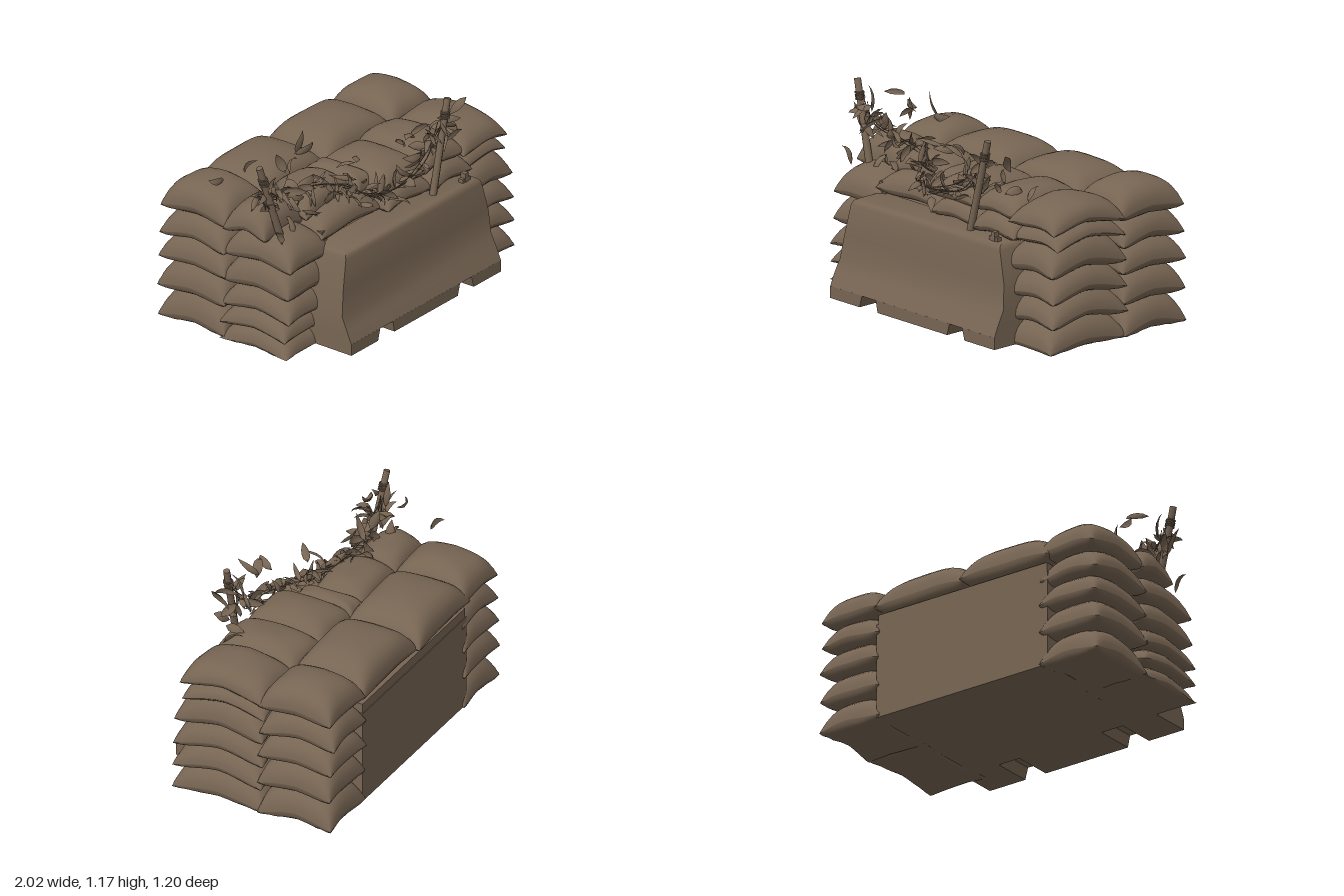
import * as THREE from 'three';
import { mergeGeometries, toCreasedNormals } from 'three/addons/utils/BufferGeometryUtils.js';

let seed = 7;
const rnd = () => (seed = (seed * 16807) % 2147483647) / 2147483647;
const jit = (a) => (rnd() - 0.5) * 2 * a;
const V = (x, y, z) => new THREE.Vector3(x, y, z);

// Stuffed sack: two domed sheets meeting at a low seam, draped by 'arch' along x or z
function bagGeometry([x0, x1], [z0, z1], [y0, y1], archX, archZ) {
  const w = (x1 - x0) / 2, d = (z1 - z0) / 2, seam = y0 + (y1 - y0) * 0.38;
  const turn = jit(0.025), phase = rnd() * 6;
  const halves = [1, -1].map((side) => {
    const g = new THREE.PlaneGeometry(2, 2, 16, 16).rotateX((-side * Math.PI) / 2);
    const p = g.attributes.position;
    const h = side > 0 ? y1 - seam : y0 - seam;
    for (let i = 0; i < p.count; i++) {
      const u = Math.sin((p.getX(i) * Math.PI) / 2), v = Math.sin((p.getZ(i) * Math.PI) / 2);
      const dome = Math.sqrt(Math.max(0, (1 - Math.abs(u) ** 4) * (1 - Math.abs(v) ** 5)));
      const ear = u * u * v * v;
      const px = u * w * (1 - 0.04 * (1 - v * v)), pz = v * d * (1 - 0.035 * (1 - u * u));
      const y = seam + h * dome + archX * (0.3 - u * u) + archZ * (0.4 - Math.abs(v) ** 1.3)
        - 0.01 * ear + 0.005 * Math.sin(u * 4 + phase) * Math.cos(v * 3);
      p.setXYZ(i, (x0 + x1) / 2 + px * Math.cos(turn) + pz * Math.sin(turn), Math.max(0.008, y),
        (z0 + z1) / 2 - px * Math.sin(turn) + pz * Math.cos(turn));
    }
    g.computeVertexNormals();
    return g;
  });
  return mergeGeometries(halves);
}

// Pointed, curled, creased leaf
function leafGeometry(length, width, curl) {
  const g = new THREE.PlaneGeometry(1, 1, 2, 5);
  const p = g.attributes.position;
  for (let i = 0; i < p.count; i++) {
    const x = p.getX(i), t = p.getY(i) + 0.5;
    const taper = Math.sin(Math.PI * Math.pow(t, 0.7));
    const a = t * curl;
    p.setXYZ(i, x * width * taper, (length * Math.sin(a)) / curl,
      (length * (1 - Math.cos(a))) / curl + Math.abs(x) * width * 0.7 * taper);
  }
  g.computeVertexNormals();
  return g;
}

export function createModel() {
  const model = new THREE.Group();
  const brown = new THREE.MeshStandardMaterial({ color: 0x776553, side: THREE.DoubleSide });
  brown.name = 'earth brown';
  const add = (name, geometry, parent = model) => {
    const m = new THREE.Mesh(geometry, brown);
    m.name = name;
    parent.add(m);
    return m;
  };
  const group = (name) => {
    const g = new THREE.Group();
    g.name = name;
    model.add(g);
    return g;
  };

  // Solid block under and between the sacks
  add('coreBlock', new THREE.BoxGeometry(1.21, 0.58, 0.92).translate(-0.015, 0.3, -0.115));
  add('coreBlockRear', new THREE.BoxGeometry(1.19, 0.06, 0.42).translate(-0.015, 0.62, -0.36));

  // Concrete barrier: rows of [y, xMin, xMax, zFront]
  const rows = [
    [0.08, -0.71, 0.66, 0.595], [0.15, -0.71, 0.66, 0.565], [0.23, -0.705, 0.66, 0.525],
    [0.38, -0.68, 0.65, 0.512], [0.56, -0.64, 0.605, 0.5], [0.585, -0.63, 0.595, 0.49], [0.597, -0.61, 0.58, 0.465],
  ];
  const body = new THREE.BoxGeometry(1, 1, 1, 1, rows.length - 1, 1);
  const bp = body.attributes.position;
  for (let i = 0; i < bp.count; i++) {
    const r = rows[Math.round((bp.getY(i) + 0.5) * (rows.length - 1))];
    bp.setXYZ(i, bp.getX(i) < 0 ? r[1] : r[2], r[0], bp.getZ(i) < 0 ? 0.28 : r[3]);
  }
  add('barrierBody', toCreasedNormals(body, 0.75));

  // Barrier feet, leaving two notches between them
  const feet = group('barrierFeet');
  for (const [a, b, c, d] of [[-0.71, -0.465, -0.445, -0.71], [-0.315, 0.265, 0.285, -0.33], [0.41, 0.66, 0.66, 0.39]]) {
    const s = new THREE.Shape([[a, 0.01], [b, 0.01], [c, 0.081], [d, 0.081]].map((q) => new THREE.Vector2(...q)));
    add('barrierFoot', new THREE.ExtrudeGeometry(s, { depth: 0.295, bevelEnabled: false }).translate(0, 0, 0.3), feet);
  }

  // Lifting lugs on the barrier
  for (const [x, z, h] of [[0.51, 0.45, 0.06], [-0.6, 0.29, 0.075]]) {
    add('liftingLug', new THREE.BoxGeometry(0.03, h, 0.035).translate(x, 0.59 + h / 2, z));
    add('lugBase', new THREE.BoxGeometry(0.07, 0.03, 0.03).translate(x, 0.605, z));
  }

  // Side stacks, front and back columns on each side
  const sacks = group('sandbags');
  const sack = (xs, zs, ys, ax = 0, az = 0) => add('sandbag', bagGeometry(xs, zs, ys, ax, az), sacks);
  const frontY = { 1: [0, 0.17, 0.315, 0.46, 0.635, 0.72, 0.838], '-1': [0, 0.12, 0.23, 0.36, 0.53, 0.69, 0.838] };
  const backY = [0, 0.19, 0.37, 0.53, 0.685, 0.858];
  for (const s of [1, -1]) {
    const span = (inner, outer) => (s > 0 ? [inner, outer] : [-outer, -inner]);
    for (let i = 0; i < 6; i++) {
      const zf = s > 0 ? (i > 3 ? 0.4 : 0.44) : (i === 5 ? 0.16 : 0.345);
      sack(span(0.57, 0.985 - i * 0.007 + jit(0.012)), [-0.14, zf + jit(0.01)],
        [frontY[s][i] - 0.015, frontY[s][i + 1] + 0.006], 0.02, 0.045);
    }
    for (let i = 0; i < 5; i++) {
      sack(span(0.57, 0.975 - i * 0.003 + jit(0.012)), [-0.59 + jit(0.008), -0.11],
        [backY[i] - 0.015, backY[i + 1] + 0.005], 0.02, 0.035);
    }
  }

  // Sacks laid across the top
  const topSacks = [
    [[-0.63, -0.01], [-0.6, -0.11], [0.645, 0.86], 0.02],
    [[-0.04, 0.6], [-0.585, -0.11], [0.645, 0.86], 0.02],
    [[-0.63, -0.08], [-0.15, 0.32], [0.59, 0.745], 0.012],
    [[-0.1, 0.3], [-0.15, 0.39], [0.59, 0.735], 0.01],
    [[0.26, 0.62], [-0.15, 0.42], [0.59, 0.74], 0.015],
    [[-0.63, -0.17], [-0.14, 0.2], [0.7, 0.84], 0.02],
    [[-0.21, -0.05], [-0.15, 0.25], [0.69, 0.825], 0],
    [[-0.11, 0.28], [-0.14, 0.37], [0.69, 0.84], 0.02],
    [[0.25, 0.61], [-0.15, 0.38], [0.7, 0.845], 0.02],
  ];
  for (const [xs, zs, ys, a] of topSacks) sack(xs, zs, ys, a, a);

  // Leaning posts with rope wraps
  const posts = [[V(-0.83, 0.68, 0.18), V(-0.975, 1.16, 0.14)], [V(0.265, 0.59, 0.415), V(0.405, 1.15, 0.41)]];
  const up = V(0, 1, 0);
  for (const [a, b] of posts) {
    const g = group('post');
    const length = a.distanceTo(b);
    g.position.copy(a);
    g.quaternion.setFromUnitVectors(up, b.clone().sub(a).normalize());
    add('postShaft', new THREE.CylinderGeometry(0.02, 0.022, length, 8).translate(0, length / 2, 0), g);
    for (let i = 0; i < 4; i++) {
      const wrap = add('ropeWrap', new THREE.TorusGeometry(0.025, 0.005, 5, 12), g);
      wrap.position.y = length - 0.08 - i * 0.012;
      wrap.rotation.set(Math.PI / 2 + jit(0.25), jit(0.25), 0);
    }
  }

  // Garland strands strung between the posts
  const path = [[-0.91, 1.02, 0.14], [-0.85, 0.92, 0.14], [-0.68, 0.87, 0.12], [-0.45, 0.85, 0.13], [-0.3, 0.81, 0.23],
    [-0.2, 0.77, 0.33], [-0.04, 0.77, 0.4], [0.2, 0.84, 0.39], [0.36, 1.02, 0.39]].map((q) => V(...q));
  const garland = group('garland');
  for (let k = 0; k < 3; k++) {
    const c = new THREE.CatmullRomCurve3(path.map((q) => q.clone().add(V(jit(0.03), jit(0.02), jit(0.03)))));
    add('strand', new THREE.TubeGeometry(c, 50, 0.003, 4), garland);
  }

  // Leaves scattered along the garland, centred on their middle
  const leaf = (at, length, width) => {
    const m = add('leaf', leafGeometry(length, width, 0.8 + rnd() * 1.6).translate(0, -length / 2, 0), garland);
    m.position.copy(at);
    m.rotation.set(jit(1.4), rnd() * 6.28, jit(1.4));
  };
  const curve = new THREE.CatmullRomCurve3(path);
  for (let i = 0; i < 80; i++) {
    leaf(curve.getPoint((i + rnd()) / 80).add(V(jit(0.04), jit(0.04), jit(0.05))), 0.12 + rnd() * 0.08, 0.025 + rnd() * 0.035);
  }

  // Taller single leaves and the clump beside the right-hand post
  const singles = [[-0.86, 1.04, 0.08], [-0.8, 1.03, 0.18], [-0.88, 1.06, -0.09], [-0.9, 0.94, -0.16], [-0.66, 1.05, 0.06],
    [-0.62, 1.03, 0.02], [-0.48, 1.07, 0.05], [-0.44, 1.02, 0.08], [-0.3, 0.98, 0.2], [-0.23, 1.0, 0.26], [0.06, 1.03, 0.38],
    [0.13, 1.06, 0.37], [0.2, 1.05, 0.36], [0.28, 1.03, 0.35], [0.32, 0.98, 0.42], [0.5, 1.06, 0.38], [0.4, 0.93, 0.37],
    [0.44, 0.93, 0.37], [0.48, 0.9, 0.36], [0.55, 0.89, 0.33], [0.6, 0.89, 0.3], [-0.88, 0.89, 0.05], [-0.78, 0.87, 0.02],
    [-0.6, 0.87, 0.02], [-0.88, 0.75, 0.24], [-0.75, 0.74, 0.24], [-0.55, 0.77, 0.22], [-0.45, 0.76, 0.24], [-0.65, 0.76, 0.26]];
  for (const q of singles) leaf(V(...q), 0.12 + rnd() * 0.07, 0.035 + rnd() * 0.025);

  return model;
}
